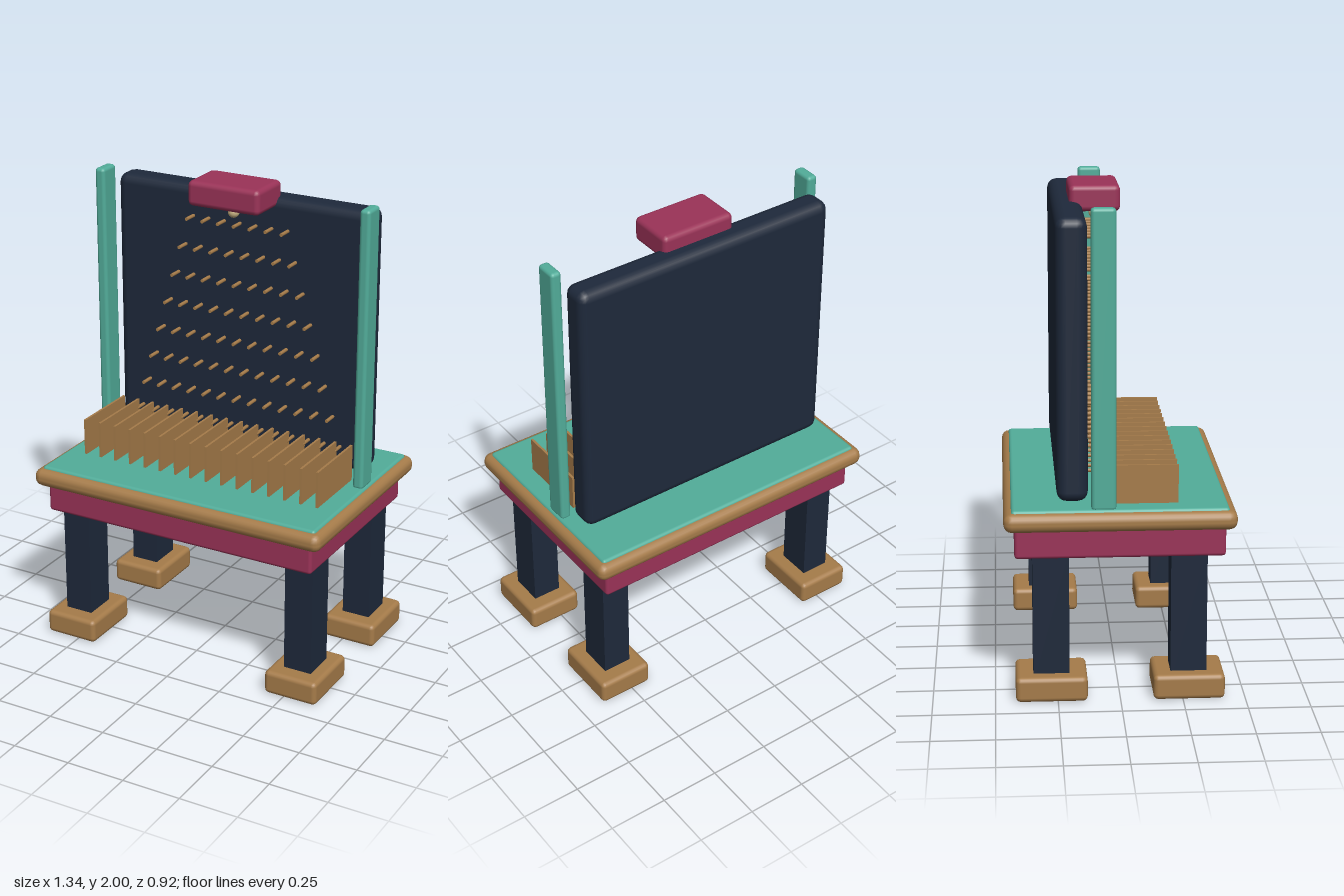
import * as THREE from 'three';
import { RoundedBoxGeometry } from 'three/addons/geometries/RoundedBoxGeometry.js';

const mat = (color) => new THREE.MeshStandardMaterial({ color });

export function createModel() {
  const model = new THREE.Group();
  const wood = mat(0xa67c4a), teal = mat(0x52ad9a), navy = mat(0x1e293b);
  const berry = mat(0x9b3358), brass = mat(0xc9b484);

  const add = (name, geometry, material, x, y, z, parent = model) => {
    const mesh = new THREE.Mesh(geometry, material);
    mesh.name = name;
    mesh.position.set(x, y, z);
    parent.add(mesh);
    return mesh;
  };
  const group = (name) => {
    const g = new THREE.Group();
    g.name = name;
    model.add(g);
    return g;
  };
  const rounded = (w, h, d, r) => new RoundedBoxGeometry(w, h, d, 2, r);

  // Table: rimmed top, playing surface, apron
  add('tableTop', rounded(1.34, 0.077, 0.92, 0.034), wood, 0, 0.748, 0);
  add('playSurface', rounded(1.28, 0.04, 0.86, 0.014), teal, 0, 0.776, 0);
  add('apron', rounded(1.24, 0.15, 0.836, 0.014), berry, 0, 0.667, 0);

  // Four legs with block feet
  const legs = group('legs');
  for (const sx of [-1, 1]) {
    for (const sz of [-1, 1]) {
      add('leg', new THREE.BoxGeometry(0.123, 0.56, 0.145), navy, sx * 0.532, 0.34, sz * 0.275, legs);
      add('foot', rounded(0.237, 0.103, 0.287, 0.02), wood, sx * 0.532, 0.0515, sz * 0.275, legs);
    }
  }

  // Upright board, side posts and the drop box on top
  add('backBoard', rounded(1.18, 1.125, 0.124, 0.04), navy, 0, 1.373, -0.187);
  for (const sx of [-1, 1]) {
    add('sidePost', rounded(0.046, 1.19, 0.098, 0.015), teal, sx * 0.608, 1.383, -0.066);
  }
  add('dropBox', rounded(0.328, 0.106, 0.206, 0.022), berry, 0, 1.947, -0.077);
  add('ball', new THREE.SphereGeometry(0.024, 20, 14), brass, 0, 1.868, -0.07);

  // Staggered peg rows, each one peg wider than the row above
  const pitch = 0.0732;
  const pegs = group('pegs');
  const pegGeometry = new THREE.CylinderGeometry(0.0075, 0.0075, 0.08, 8).rotateX(Math.PI / 2);
  for (let row = 0; row < 8; row++) {
    const count = 7 + row;
    for (let i = 0; i < count; i++) {
      add('peg', pegGeometry, wood, (i - (count - 1) / 2) * pitch, 1.805 - row * 0.1275, -0.105, pegs);
    }
  }

  // Slot dividers
  const dividers = group('dividers');
  const dividerGeometry = new THREE.BoxGeometry(0.01, 0.165, 0.313);
  for (let i = 0; i < 16; i++) {
    add('divider', dividerGeometry, wood, (i - 7.5) * pitch, 0.87, 0.0765, dividers);
  }

  return model;
}
